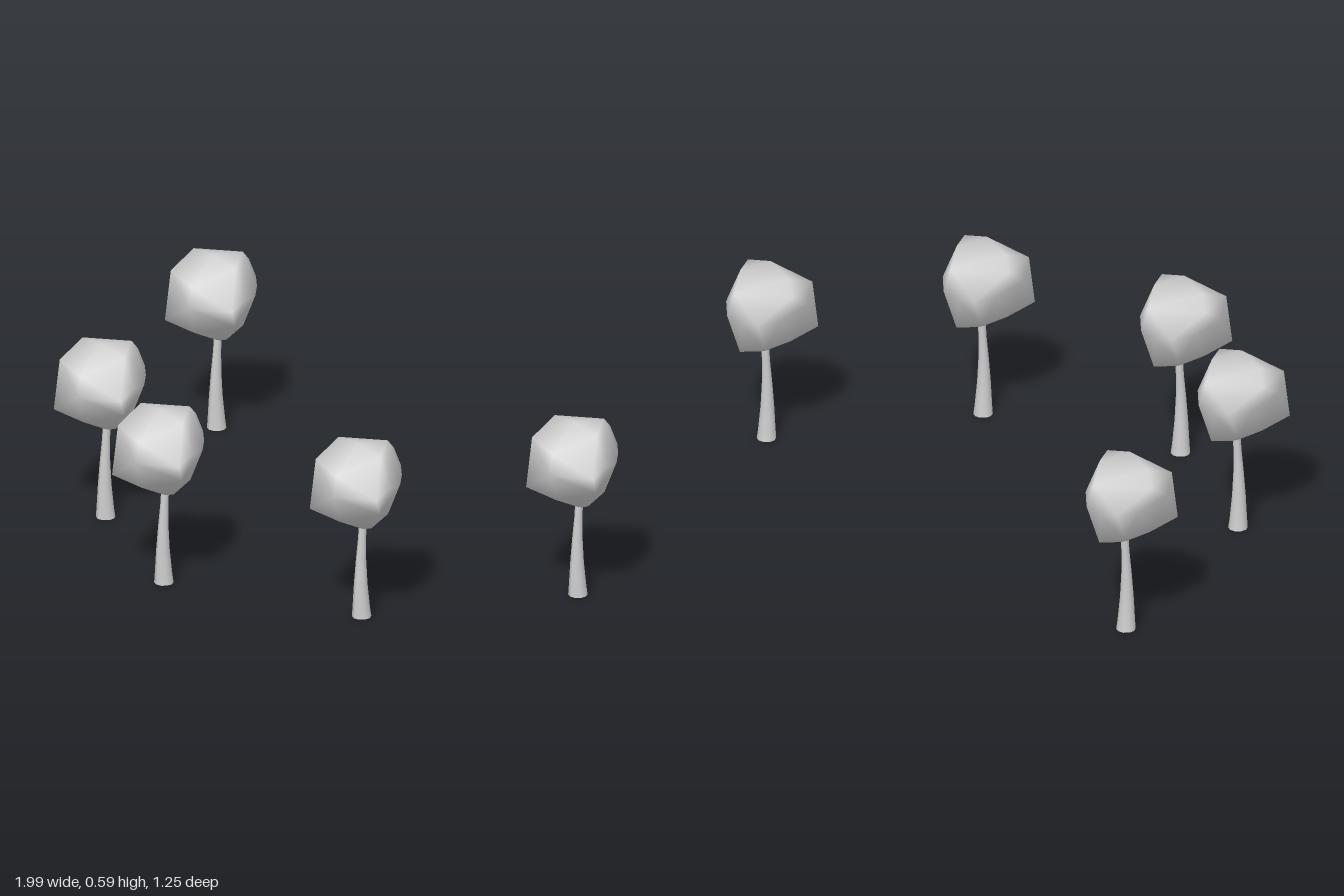
import * as THREE from 'three';
import { mergeVertices } from 'three/addons/utils/BufferGeometryUtils.js';
import { ConvexGeometry } from 'three/addons/geometries/ConvexGeometry.js';

// Trunk positions [x, z]
const spots = [[-0.87, -0.39], [-0.525, 0.305], [-0.01, 0.475], [0.57, 0.155], [0.84, -0.475]];

// Corners of the lumpy crown, measured from the foot of the trunk
const crownCorners = [
  // top
  [0.02, 0.59, 0.03], [0.04, 0.582, -0.07], [-0.09, 0.573, 0.02], [0.107, 0.567, 0.01],
  [0.0, 0.53, -0.125], [-0.075, 0.53, 0.12], [0.04, 0.512, 0.128],
  // middle
  [0, 0.465, -0.152], [0.073, 0.47, -0.1], [0.11, 0.46, -0.065], [0.155, 0.48, 0.01],
  [0.155, 0.45, 0.06], [0.057, 0.455, 0.152], [-0.125, 0.49, 0.06], [-0.127, 0.53, 0.0],
  [-0.12, 0.46, -0.035], [-0.087, 0.45, -0.1], [-0.05, 0.45, -0.135],
  // underside
  [0.143, 0.395, 0.04], [-0.075, 0.37, 0.143], [0.03, 0.353, 0.108], [-0.096, 0.364, 0.02],
  [0.01, 0.32, -0.095], [-0.06, 0.345, -0.05], [0.05, 0.31, 0.0], [0.01, 0.293, 0.0],
];

function crownGeometry() {
  const hull = new ConvexGeometry(crownCorners.map((p) => new THREE.Vector3(...p)));
  hull.deleteAttribute('normal');
  const smooth = mergeVertices(hull, 1e-4);
  smooth.computeVertexNormals();
  return smooth;
}

// Flared trunk with a slight bend
function trunkGeometry() {
  const profile = [[0.03, 0], [0.027, 0.03], [0.021, 0.11], [0.016, 0.19], [0.0125, 0.26], [0.012, 0.34]];
  const geo = new THREE.LatheGeometry(profile.map(([r, y]) => new THREE.Vector2(r, y)), 10);
  const pos = geo.attributes.position;
  for (let i = 0; i < pos.count; i++) {
    const t = pos.getY(i) / 0.34;
    pos.setX(i, pos.getX(i) + 0.005 * t);
    pos.setZ(i, pos.getZ(i) + 0.005 * Math.sin(t * Math.PI * 1.2));
  }
  geo.computeVertexNormals();
  return geo;
}

export function createModel() {
  const model = new THREE.Group();
  model.name = 'treeGrove';
  const material = new THREE.MeshStandardMaterial({ color: 0xcccccc });
  const crownGeo = crownGeometry();
  const trunkGeo = trunkGeometry();
  const baseGeo = new THREE.CircleGeometry(0.03, 10).rotateX(Math.PI / 2);

  spots.forEach(([x, z], i) => {
    const tree = new THREE.Group();
    tree.name = `tree${i + 1}`;
    const parts = { trunk: trunkGeo, trunkBase: baseGeo, crown: crownGeo };
    for (const [name, geo] of Object.entries(parts)) {
      const mesh = new THREE.Mesh(geo, material);
      mesh.name = name;
      tree.add(mesh);
    }
    tree.position.set(x, 0, z);
    model.add(tree);
  });
  return model;
}
